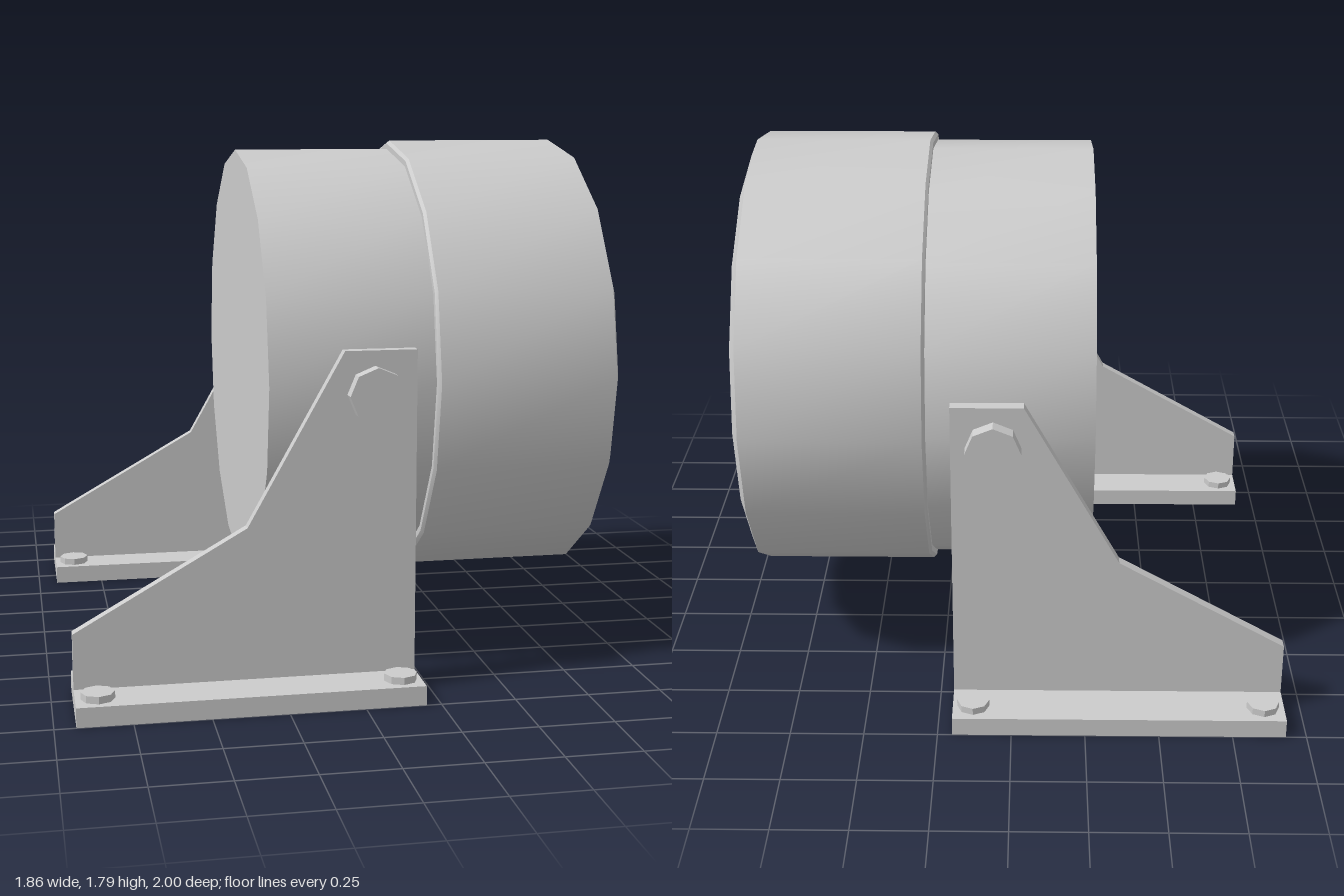
import * as THREE from 'three';
import { toCreasedNormals } from 'three/addons/utils/BufferGeometryUtils.js';

const SIDES = 16, AXIS_Y = 1.007, TWIST = -0.015;

export function createModel() {
  const model = new THREE.Group();
  model.name = 'floodlight';
  const material = new THREE.MeshStandardMaterial({ color: 0xcccccc });

  const add = (parent, name, geometry, x = 0, y = 0, z = 0) => {
    const mesh = new THREE.Mesh(geometry, material);
    mesh.name = name;
    mesh.position.set(x, y, z);
    parent.add(mesh);
    return mesh;
  };

  // Lathe whose axis lies along x; profile points are [radius, x]
  const latheX = (profile) => {
    const g = new THREE.LatheGeometry(profile.map(([r, x]) => new THREE.Vector2(r, x)), SIDES);
    g.rotateZ(-Math.PI / 2);
    g.rotateX(TWIST);
    return g;
  };

  // Housing: rear drum, wider front collar, bevelled lip and recess
  add(model, 'housing', toCreasedNormals(latheX([
    [0, -0.275], [0.755, -0.275], [0.755, 0.285], [0.775, 0.285], [0.785, 0.295],
    [0.785, 0.9], [0.725, 0.925], [0.67, 0.9], [0.67, 0.62], [0, 0.62],
  ]), 0.5), 0, AXIS_Y, 0);

  // Domed lens inside the recess
  const lensR = 0.67, edgeX = 0.68, sag = 0.17;
  const sphereR = (lensR * lensR + sag * sag) / (2 * sag);
  const lensProfile = [];
  for (let i = 0; i <= 8; i++) {
    const a = Math.asin(lensR / sphereR) * (1 - i / 8);
    lensProfile.push([sphereR * Math.sin(a), edgeX + sag - sphereR * (1 - Math.cos(a))]);
  }
  add(model, 'lens', latheX(lensProfile), 0, AXIS_Y, 0);

  // Lower shield: a circle segment filling the bottom of the opening
  const shieldTop = -0.297, halfWidth = 0.59;
  const shield = new THREE.Shape();
  shield.moveTo(halfWidth, shieldTop);
  for (let i = 1; i < SIDES / 2; i++) {
    const a = -i * 2 * Math.PI / SIDES + TWIST;
    const y = 0.67 * Math.sin(a);
    if (y < shieldTop) shield.lineTo(0.67 * Math.cos(a), y);
  }
  shield.lineTo(-halfWidth, shieldTop);
  shield.closePath();
  const shieldGeo = new THREE.ExtrudeGeometry(shield, { depth: 0.27, bevelEnabled: false });
  shieldGeo.rotateY(Math.PI / 2);
  add(model, 'lowerShield', shieldGeo, 0.632, AXIS_Y, 0);

  // Side plate outline
  const outline = [[-0.93, 0.06], [0.2, 0.06], [0.2, 1.145], [-0.04, 1.145], [-0.36, 0.575], [-0.93, 0.25]];
  const plateShape = new THREE.Shape(outline.map(([x, y]) => new THREE.Vector2(x, y)));
  const plateGeo = new THREE.ExtrudeGeometry(plateShape, { depth: 0.04, bevelEnabled: false });

  const octagon = (r, h) => toCreasedNormals(new THREE.CylinderGeometry(r, r, h, 8), 0.5);

  // Mounting brackets on both sides
  for (const side of [1, -1]) {
    const bracket = new THREE.Group();
    bracket.name = side > 0 ? 'frontBracket' : 'backBracket';
    model.add(bracket);
    add(bracket, 'base', new THREE.BoxGeometry(1.13, 0.065, 0.36), -0.365, 0.0325, side * 0.82);
    add(bracket, 'sidePlate', plateGeo, 0, 0, side * 0.81 - 0.02);
    add(bracket, 'pivotBolt', octagon(0.092, 0.16), 0.06, 1.003, side * 0.8).rotation.x = Math.PI / 2;
    for (const x of [-0.857, 0.13])
      for (const z of [0.718, 0.922])
        add(bracket, 'baseBolt', octagon(0.055, 0.03), x, 0.074, side * z);
  }
  return model;
}
